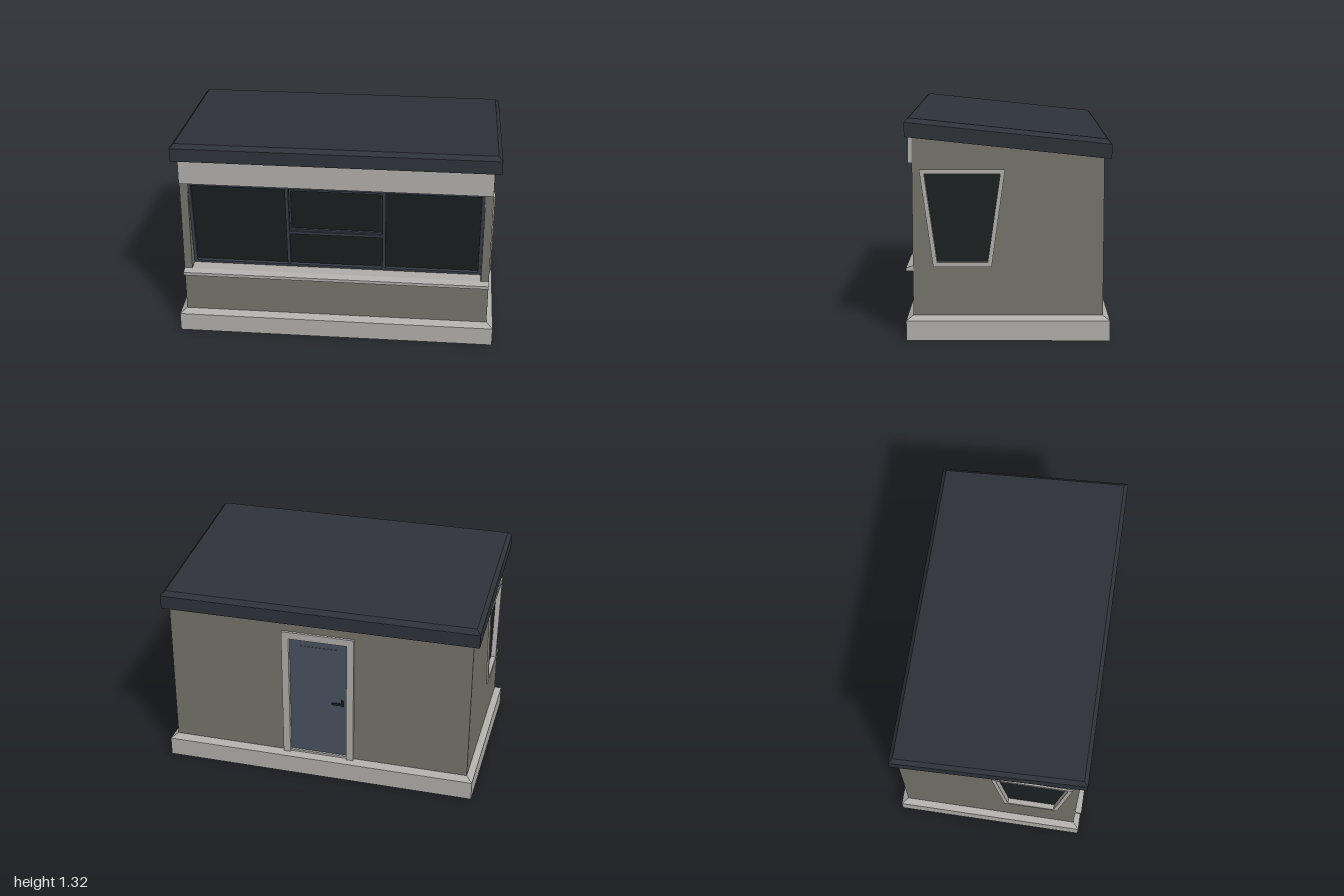
import * as THREE from 'three';

const paint = (color, extra = {}) => new THREE.MeshStandardMaterial({ color, ...extra });

const WALL = paint(0x74736a);
const TRIM = paint(0xb0aeaa);
const ROOF = paint(0x2e3239, { flatShading: true });
const PLINTH = paint(0xb0aeaa, { flatShading: true });
const FRAME = paint(0x39404a);
const GLASS = paint(0x1b2021);
const DOOR = paint(0x465260);
const METAL = paint(0x22262a);

function add(parent, name, geometry, material) {
  const mesh = new THREE.Mesh(geometry, material);
  mesh.name = name;
  parent.add(mesh);
  return mesh;
}

// box given by its limits on each axis
function box(x0, x1, y0, y1, z0, z1) {
  return new THREE.BoxGeometry(x1 - x0, y1 - y0, z1 - z0)
    .translate((x0 + x1) / 2, (y0 + y1) / 2, (z0 + z1) / 2);
}

// extruded outline with an optional hole
function plate(outline, hole, depth) {
  const toVectors = (pts) => pts.map(([a, b]) => new THREE.Vector2(a, b));
  const shape = new THREE.Shape(toVectors(outline));
  if (hole) shape.holes.push(new THREE.Path(toVectors(hole)));
  return new THREE.ExtrudeGeometry(shape, { depth, bevelEnabled: false });
}

// the same, but drawn in (z, y) and running from x0 to x1
const sidePlate = (outline, hole, x0, x1) =>
  plate(outline, hole, x1 - x0).rotateY(-Math.PI / 2).translate(x1, 0, 0);

const rect = (x0, x1, y0, y1) => [[x0, y0], [x1, y0], [x1, y1], [x0, y1]];

// block lofted through rectangles: [half x, half z, front y, back y]
function lofted(sections) {
  const positions = [];
  const index = [];
  for (const [hx, hz, yf, yb] of sections) {
    positions.push(-hx, yf, hz, hx, yf, hz, hx, yb, -hz, -hx, yb, -hz);
  }
  for (let s = 0; s < sections.length - 1; s++) {
    for (let i = 0; i < 4; i++) {
      const a = s * 4 + i, b = s * 4 + (i + 1) % 4;
      index.push(a, b, b + 4, a, b + 4, a + 4);
    }
  }
  const t = (sections.length - 1) * 4;
  index.push(0, 2, 1, 0, 3, 2, t, t + 1, t + 2, t, t + 2, t + 3);
  const indexed = new THREE.BufferGeometry();
  indexed.setAttribute('position', new THREE.Float32BufferAttribute(positions, 3));
  indexed.setIndex(index);
  const geometry = indexed.toNonIndexed();
  geometry.computeVertexNormals();
  return geometry;
}

// slanted front glazing: three bays, the middle one with a hatch above
function frontWindow() {
  const group = new THREE.Group();
  group.name = 'frontWindow';
  const w = 0.91, h = 0.616, m = 0.3;
  add(group, 'frontFrame', plate(rect(-w, w, 0, h), rect(-w + 0.02, w - 0.02, 0.02, h - 0.02), 0.04)
    .translate(0, 0, -0.04), FRAME);
  for (const s of [-1, 1]) {
    add(group, 'mullion', box(s * m - 0.01, s * m + 0.01, 0.02, h - 0.02, -0.04, -0.002), FRAME);
  }
  add(group, 'transom', box(-m + 0.01, m - 0.01, 0.257, 0.277, -0.04, -0.002), FRAME);
  add(group, 'hatchFrame', plate(rect(-0.287, 0.287, 0.28, h - 0.022),
    rect(-0.275, 0.275, 0.293, h - 0.036), 0.025).translate(0, 0, -0.033), FRAME);
  add(group, 'frontGlass', box(-w + 0.01, w - 0.01, 0.01, h - 0.01, -0.03, -0.02), GLASS);
  group.position.set(0, 0.44, 0.48);
  group.rotation.x = Math.atan2(0.085, 0.61);
  return group;
}

// back door with its surround, raised panel and lever handle
function backDoor() {
  const group = new THREE.Group();
  group.name = 'backDoor';
  const surround = [[-0.23, 0.14], [-0.185, 0.14], [-0.185, 0.965], [0.185, 0.965],
    [0.185, 0.14], [0.23, 0.14], [0.23, 1.01], [-0.23, 1.01]];
  add(group, 'doorSurround', plate(surround, null, 0.055).translate(0, 0, -0.577), TRIM);
  add(group, 'threshold', box(-0.185, 0.185, 0.14, 0.155, -0.565, -0.52), TRIM);
  add(group, 'doorLeaf', box(-0.185, 0.185, 0.155, 0.965, -0.55, -0.52), DOOR);
  add(group, 'doorPanel', box(-0.125, 0.125, 0.21, 0.915, -0.553, -0.545), DOOR);
  add(group, 'handlePlate', box(-0.165, -0.145, 0.52, 0.56, -0.558, -0.548), METAL);
  add(group, 'handleLever', box(-0.162, -0.09, 0.535, 0.547, -0.578, -0.568), METAL);
  add(group, 'handleNeck', box(-0.162, -0.15, 0.535, 0.547, -0.57, -0.55), METAL);
  return group;
}

export function createModel() {
  const model = new THREE.Group();
  model.name = 'kiosk';

  // base with a sloped shoulder, and the slanted roof slab with bevelled rim
  add(model, 'plinth', lofted([[1, 0.6, 0, 0], [1, 0.6, 0.12, 0.12], [0.96, 0.56, 0.145, 0.145]]), PLINTH);
  add(model, 'roof', lofted([[1, 0.6, 1.207, 1.08], [1, 0.6, 1.292, 1.165], [0.975, 0.575, 1.316, 1.194]]), ROOF);

  // side walls with tapered windows
  const wall = [[-0.56, 0.14], [0.56, 0.14], [0.56, 1.215], [-0.56, 1.096]];
  const outer = [[0.097, 0.438], [0.44, 0.438], [0.518, 1.014], [0.018, 1.014]];
  const inner = [[0.12, 0.464], [0.417, 0.464], [0.49, 0.988], [0.046, 0.988]];
  const opening = [[0.11, 0.45], [0.428, 0.45], [0.504, 1], [0.032, 1]];
  for (const s of [-1, 1]) {
    const span = (a, b) => (s > 0 ? [a, b] : [-b, -a]);
    add(model, 'sideWall', sidePlate(wall, opening, ...span(0.91, 0.96)), WALL);
    add(model, 'sideWindowFrame', sidePlate(outer, inner, ...span(0.925, 0.97)), TRIM);
    add(model, 'sideGlass', sidePlate(opening, null, ...span(0.93, 0.937)), GLASS);
  }

  // back wall with the door opening
  add(model, 'backWall', plate(rect(-0.91, 0.91, 0.14, 1.096), rect(-0.2, 0.2, 0.15, 0.98), 0.04)
    .translate(0, 0, -0.56), WALL);
  model.add(backDoor());

  // front wall, sill and header board
  add(model, 'frontWall', box(-0.91, 0.91, 0.14, 0.43, 0.42, 0.56), WALL);
  add(model, 'innerSill', box(-0.91, 0.91, 0.43, 0.443, 0.42, 0.56), TRIM);
  add(model, 'frontSill', sidePlate([[0.555, 0.41], [0.6, 0.41], [0.6, 0.43], [0.56, 0.443], [0.555, 0.443]],
    null, -0.96, 0.96), TRIM);
  add(model, 'headerBoard', box(-0.958, 0.958, 1.05, 1.215, 0.53, 0.583), TRIM);
  model.add(frontWindow());

  return model;
}
